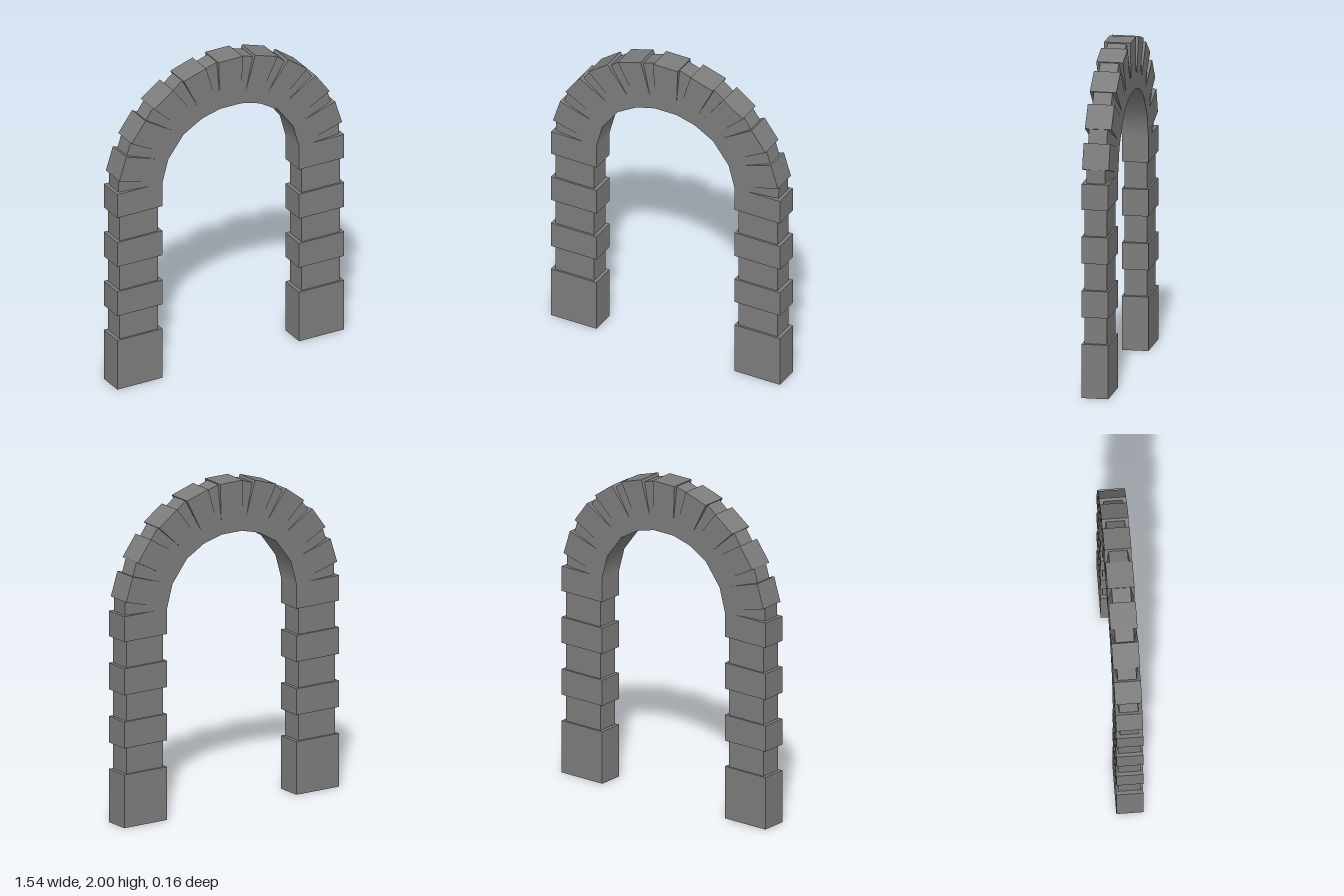
import * as THREE from 'three';
import { ConvexGeometry } from 'three/addons/geometries/ConvexGeometry.js';

const material = new THREE.MeshStandardMaterial({ color: 0x7d7d7d });
const DEPTH = 0.08; // half thickness of the proud stones
const RECESS = 0.056; // half thickness at the outer rim of the recessed joints
const SPRING = 1.30; // height where the arch starts
const SPAN = 0.465; // half width of the opening
const RISE = 0.39; // height of the opening above the springing

// Smooth the underside along its ellipse and even out the front and back faces
function softenNormals(geometry) {
  const { position, normal } = geometry.attributes;
  const n = new THREE.Vector3();
  const inward = new THREE.Vector3();
  for (let i = 0; i < position.count; i++) {
    n.fromBufferAttribute(normal, i);
    inward.set(-position.getX(i) / SPAN ** 2, (SPRING - position.getY(i)) / RISE ** 2, 0).normalize();
    if (n.dot(inward) > 0.85) normal.setXYZ(i, inward.x, inward.y, 0);
    else if (Math.abs(n.z) > 0.95) normal.setXYZ(i, 0, 0, Math.sign(n.z));
  }
}

// Convex stone from [x, y, halfDepth] corners, mirrored front to back
function stone(name, corners, side = 1) {
  const points = corners.flatMap(([x, y, h]) => [
    new THREE.Vector3(x * side, y, h),
    new THREE.Vector3(x * side, y, -h),
  ]);
  const geometry = new ConvexGeometry(points);
  softenNormals(geometry);
  const mesh = new THREE.Mesh(geometry, material);
  mesh.name = name;
  return mesh;
}

// Point along a joint line: 0 at the inner curve, 1 at the outer curve
const along = ({ inner, outer }, t, h) => [
  inner[0] + (outer[0] - inner[0]) * t,
  inner[1] + (outer[1] - inner[1]) * t,
  h,
];

// Full-depth wedge between two joint lines
const wedge = (a, b) => [a, b].flatMap((j) => [along(j, 0, DEPTH), along(j, 1, DEPTH)]);

// Joint filler: flush near the inner curve, tapering back towards the rim
const filler = (a, b) => [[a, 0.94], [b, 0.98]].flatMap(([j, rim]) => [
  along(j, 0, DEPTH), along(j, 0.28, DEPTH), along(j, rim, RECESS),
]);

// Joint lines from the springing up to the keystone
const joints = [
  [0.465, 1.30, 0.768, 1.30],
  [0.464, 1.304, 0.758, 1.386],
  [0.426, 1.444, 0.711, 1.535],
  [0.407, 1.470, 0.674, 1.614],
  [0.320, 1.585, 0.580, 1.742],
  [0.298, 1.597, 0.521, 1.804],
  [0.204, 1.653, 0.392, 1.897],
  [0.180, 1.662, 0.320, 1.937],
  [0.080, 1.688, 0.168, 1.985],
  [0.072, 1.690, 0.082, 2.0],
].map(([ix, iy, ox, oy]) => ({ inner: [ix, iy], outer: [ox, oy] }));

// Heights where the pillar courses change, alternating proud and recessed
const courses = [0, 0.327, 0.49, 0.652, 0.817, 0.98, 1.144, SPRING];

export function createModel() {
  const model = new THREE.Group();
  model.name = 'stoneArch';

  for (const side of [1, -1]) {
    const label = side > 0 ? 'left' : 'right';

    // Pillar courses
    const pillar = new THREE.Group();
    pillar.name = label + 'Pillar';
    for (let i = 0; i < courses.length - 1; i++) {
      const proud = i % 2 === 0;
      const height = courses[i + 1] - courses[i];
      const block = new THREE.Mesh(
        new THREE.BoxGeometry(proud ? 0.307 : 0.262, height, proud ? DEPTH * 2 : 0.136),
        material,
      );
      block.name = proud ? 'proudCourse' : 'recessedCourse';
      block.position.set(side * 0.6185, courses[i] + height / 2, 0);
      pillar.add(block);
    }
    model.add(pillar);

    // Arch stones alternating with recessed joints
    const arch = new THREE.Group();
    arch.name = label + 'ArchHalf';
    for (let i = 0; i < joints.length - 1; i++) {
      const [a, b] = [joints[i], joints[i + 1]];
      arch.add(i % 2 === 0
        ? stone('recessedJoint', filler(a, b), side)
        : stone('archStone', wedge(a, b), side));
    }
    model.add(arch);
  }

  // Keystone
  const key = joints[joints.length - 1];
  const mirrored = {
    inner: [-key.inner[0], key.inner[1]],
    outer: [-key.outer[0], key.outer[1]],
  };
  model.add(stone('keystone', wedge(key, mirrored)));

  return model;
}
